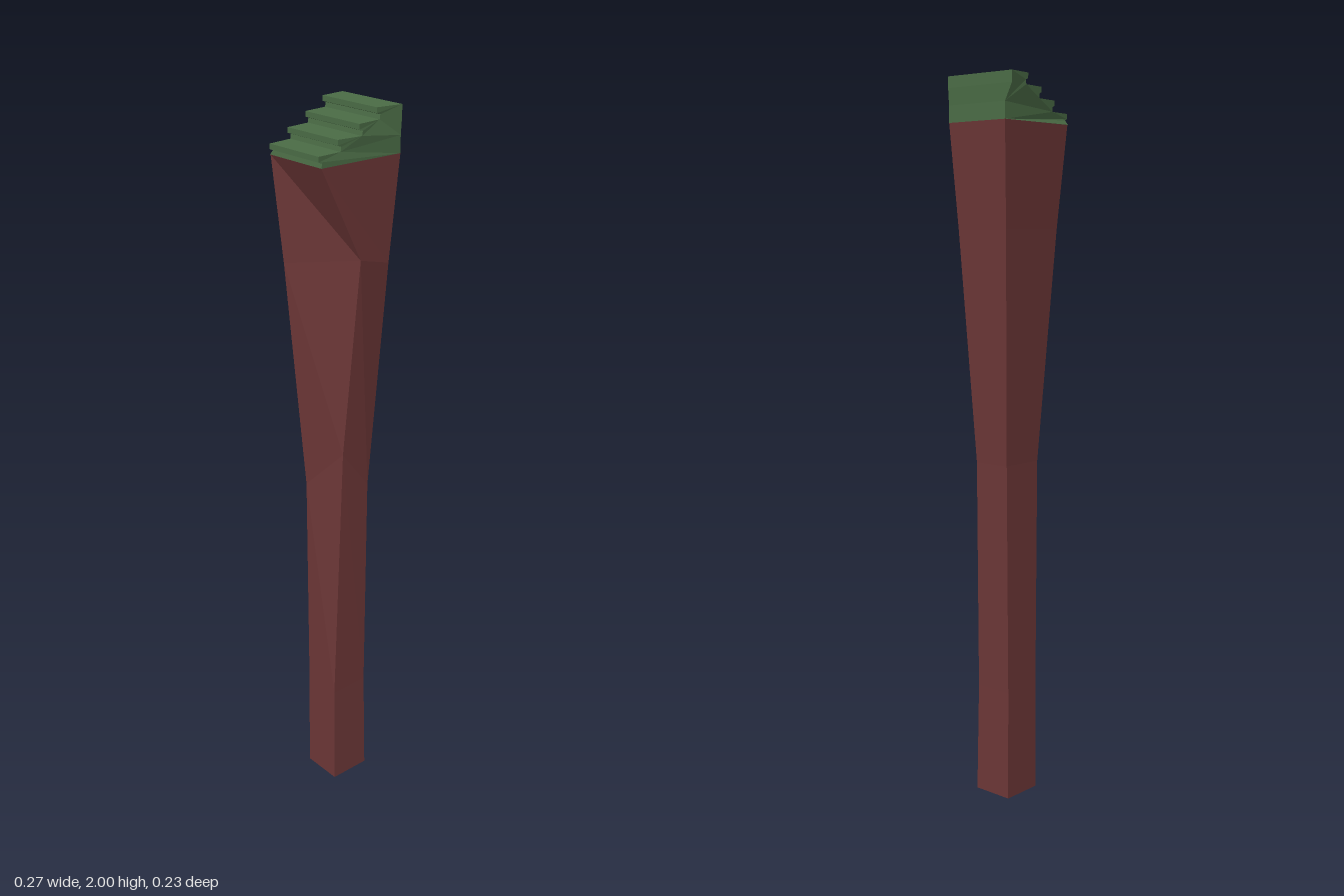
import * as THREE from 'three';

// Lofts four-cornered rings (front-left, front-right, back-right, back-left seen from the front) into a closed post.
function loftPost(rings) {
  const index = [];
  for (let i = 0; i < rings.length - 1; i++) {
    for (let j = 0; j < 4; j++) {
      const a = i * 4 + j, b = i * 4 + (j + 1) % 4;
      index.push(a, b, a + 4, b, b + 4, a + 4);
    }
  }
  const t = (rings.length - 1) * 4;
  index.push(0, 2, 1, 0, 3, 2, t, t + 1, t + 2, t, t + 2, t + 3);
  const geometry = new THREE.BufferGeometry();
  geometry.setAttribute('position', new THREE.Float32BufferAttribute(rings.flat(2), 3));
  geometry.setIndex(index);
  geometry.computeVertexNormals();
  return geometry;
}

export function createModel() {
  const model = new THREE.Group();
  const red = new THREE.MeshStandardMaterial({ color: 0x6b3636, flatShading: true });
  const green = new THREE.MeshStandardMaterial({ color: 0x4a6b45, flatShading: true });

  // Post: flares toward the top, with one front corner carved inward
  const post = new THREE.Mesh(loftPost([
    [[-0.055, 0, 0.077], [0.066, 0, 0.077], [0.066, 0, -0.042], [-0.055, 0, -0.042]],
    [[-0.053, 0.31, 0.073], [0.063, 0.31, 0.072], [0.063, 0.31, -0.04], [-0.055, 0.31, -0.04]],
    [[-0.025, 1.08, 0.075], [0.07, 0.96, 0.07], [0.07, 0.96, -0.041], [-0.059, 0.96, -0.041]],
    [[-0.003, 1.63, 0.115], [0.106, 1.6, 0.1], [0.106, 1.6, -0.071], [-0.103, 1.6, -0.071]],
    [[-0.126, 1.88, 0.109], [0.131, 1.88, 0.109], [0.131, 1.88, -0.09], [-0.126, 1.88, -0.088]],
  ]), red);
  post.name = 'post';
  model.add(post);

  // Stepped cap: four treads with overhanging nosings, climbing toward +x
  const points = [[0.131, 1.88], [0.131, 1.925], [0.134, 1.97], [0.134, 2]];
  for (let i = 3; i >= 0; i--) {
    const x = -0.135 + i * 0.0645, y = 1.91 + i * 0.03;
    points.push([x, y], [x, y - 0.014], [x + 0.011, y - 0.018]);
    if (i > 0) points.push([x + 0.009, y - 0.03]);
  }
  points.push([-0.126, 1.88]);
  const profile = new THREE.Shape(points.map(([x, y]) => new THREE.Vector2(x, y)));
  const capGeometry = new THREE.ExtrudeGeometry(profile, { depth: 1, bevelEnabled: false });

  // Uneven ends: the back flares out with height, the front has slight nicks
  const pos = capGeometry.attributes.position;
  for (let i = 0; i < pos.count; i++) {
    const x = pos.getX(i), y = pos.getY(i);
    let z;
    if (pos.getZ(i) > 0.5) {
      z = 0.109;
      if (y > 1.95 && Math.abs(x - 0.06) < 0.012) z = 0.1;
      else if (y > 1.9 && Math.abs(x + 0.07) < 0.014) z = 0.104;
    } else {
      z = y < 1.93 && x > 0 || y < 1.89 ? -0.09 : -0.098 - 0.138 * x;
    }
    pos.setZ(i, z);
  }
  capGeometry.computeVertexNormals();
  const cap = new THREE.Mesh(capGeometry, green);
  cap.name = 'steppedCap';
  model.add(cap);

  return model;
}
